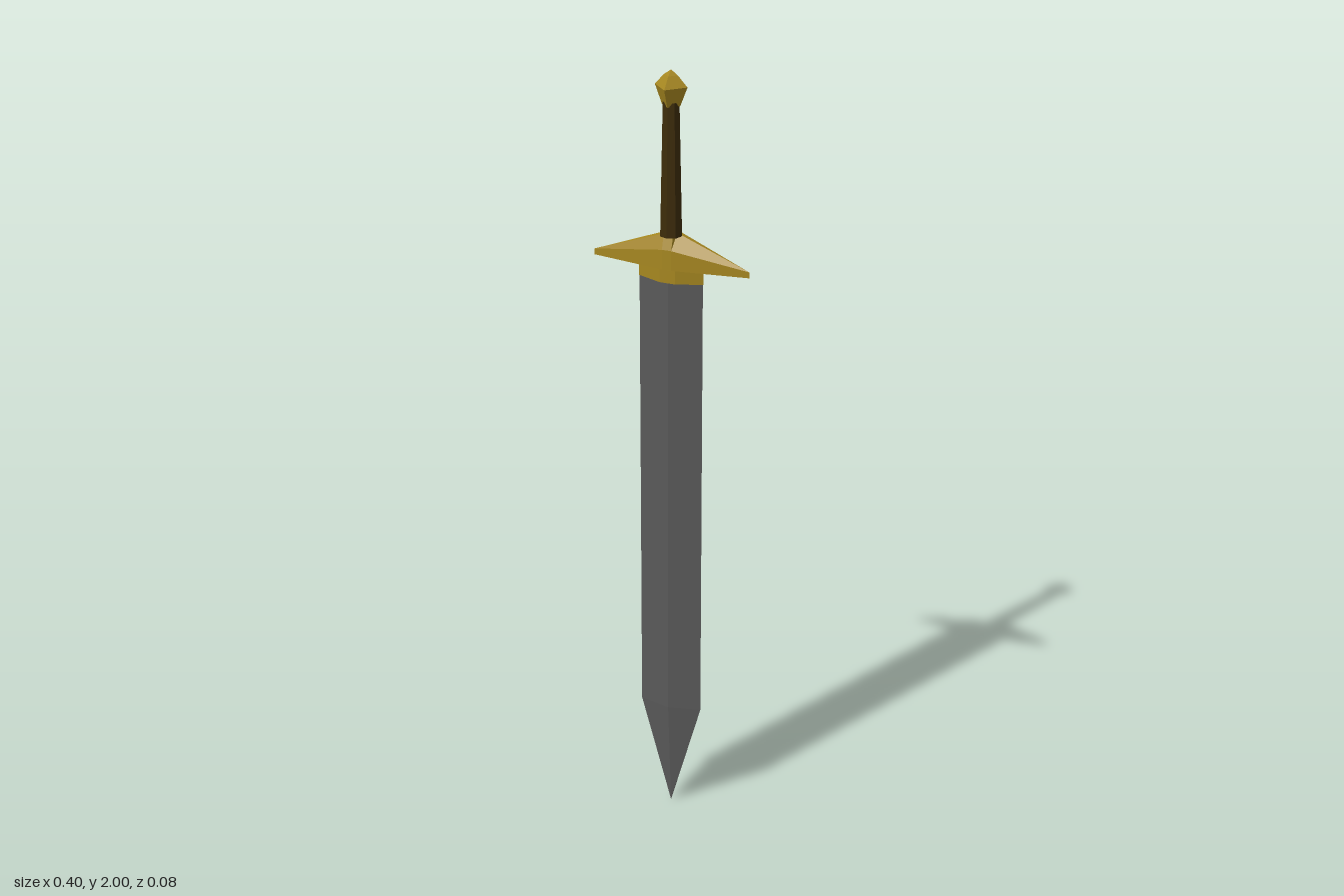
import * as THREE from 'three';

const mat = (name, color) => {
  const m = new THREE.MeshStandardMaterial({ color, flatShading: true });
  m.name = name;
  return m;
};

// Skin equal-length rings of [x, y, z] points, listed counter-clockwise seen from above, bottom ring first
function loft(rings) {
  const n = rings[0].length;
  const pos = [];
  const tri = (a, b, c) => pos.push(...a, ...b, ...c);
  for (let r = 0; r < rings.length - 1; r++) {
    for (let i = 0; i < n; i++) {
      const j = (i + 1) % n;
      const [a, b, c, d] = [rings[r][i], rings[r][j], rings[r + 1][j], rings[r + 1][i]];
      tri(a, b, c);
      tri(a, c, d);
    }
  }
  const first = rings[0], last = rings[rings.length - 1];
  for (let i = 1; i < n - 1; i++) {
    tri(first[0], first[i + 1], first[i]);
    tri(last[0], last[i], last[i + 1]);
  }
  const g = new THREE.BufferGeometry();
  g.setAttribute('position', new THREE.Float32BufferAttribute(pos, 3));
  g.computeVertexNormals();
  return g;
}

// Diamond ring: half width w, half depth d
const diamond = (y, w, d) => [[w, y, 0], [0, y, -d], [-w, y, 0], [0, y, d]];

// Flattened hexagonal ring with narrow edges on +x and -x
const hexagon = (y, w, d, flat) => [
  [w, y, 0], [flat, y, -d], [-flat, y, -d], [-w, y, 0], [-flat, y, d], [flat, y, d],
];

export function createModel() {
  const sword = new THREE.Group();
  sword.name = 'sword';
  const steel = mat('steel', 0x5a5a5a);
  const gold = mat('gold', 0xa68720);
  const leather = mat('dark leather', 0x3d2c0a);

  const add = (name, geometry, material) => {
    const mesh = new THREE.Mesh(geometry, material);
    mesh.name = name;
    sword.add(mesh);
  };

  // Blade with a central ridge, tapering to the point
  add('blade', loft([
    diamond(0, 0.0005, 0.0005),
    diamond(0.295, 0.082, 0.02),
    diamond(1.5, 0.082, 0.02),
  ]), steel);

  // Collar where the blade meets the guard
  add('collar', loft([
    hexagon(1.48, 0.083, 0.024, 0.02),
    hexagon(1.52, 0.083, 0.024, 0.02),
  ]), gold);

  // Crossguard: flat underside, roof sloping from the middle to thin tips
  add('guard', loft([
    hexagon(1.515, 0.2, 0.028, 0.012),
    [[0.2, 1.53, 0], [0.012, 1.565, -0.028], [-0.012, 1.565, -0.028],
      [-0.2, 1.53, 0], [-0.012, 1.565, 0.028], [0.012, 1.565, 0.028]],
    hexagon(1.602, 0.016, 0.016, 0.012),
  ]), gold);

  // Grip, slightly narrower towards the pommel
  const grip = new THREE.CylinderGeometry(0.021, 0.028, 0.33, 8);
  grip.translate(0, 1.76, 0);
  add('grip', grip, leather);

  // Faceted pommel
  add('pommel', loft([
    diamond(1.915, 0.023, 0.023),
    diamond(1.962, 0.041, 0.041),
    diamond(1.988, 0.017, 0.017),
    diamond(2, 0.0005, 0.0005),
  ]), gold);

  return sword;
}
